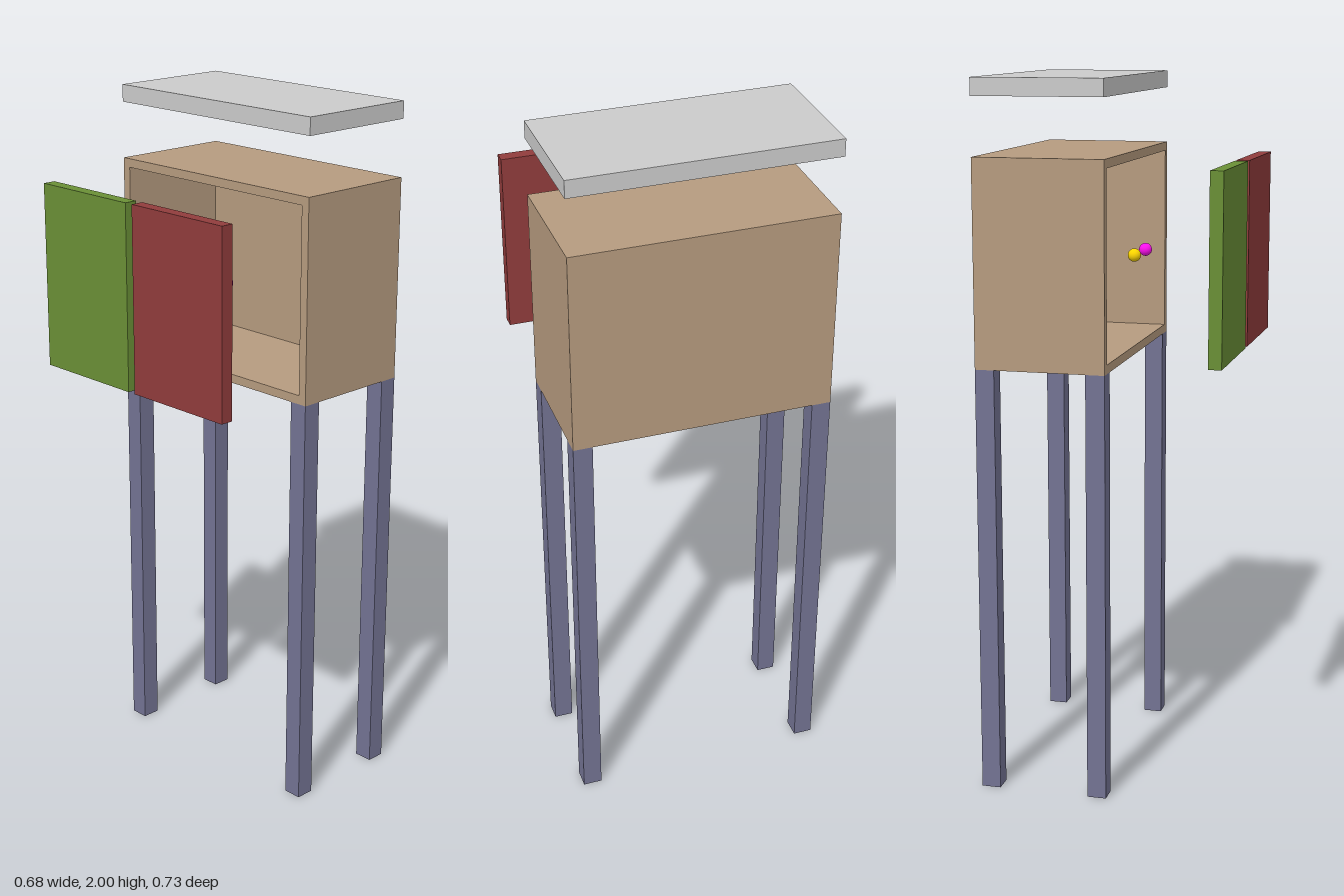
import * as THREE from 'three';

export function createModel() {
  const model = new THREE.Group();
  const mat = (color) => new THREE.MeshStandardMaterial({ color });
  const wood = mat(0xb69b7f);
  const steel = mat(0x737393);
  const grey = mat(0xcccccc);
  const green = mat(0x6a8f36);
  const red = mat(0x913c3c);
  const yellow = mat(0xffd700);
  const magenta = mat(0xff10f0);

  // Box given by its minimum and maximum corners
  const box = (name, material, [x0, y0, z0], [x1, y1, z1], parent = model) => {
    const mesh = new THREE.Mesh(new THREE.BoxGeometry(x1 - x0, y1 - y0, z1 - z0), material);
    mesh.position.set((x0 + x1) / 2, (y0 + y1) / 2, (z0 + z1) / 2);
    mesh.name = name;
    parent.add(mesh);
  };

  const X0 = -0.027, X1 = 0.339, Z = 0.367;   // cabinet footprint
  const Y0 = 1.216, Y1 = 1.791, T = 0.025;    // cabinet height and board thickness

  // Cabinet, open towards -x
  const cabinet = new THREE.Group();
  cabinet.name = 'cabinet';
  model.add(cabinet);
  box('cabinetFloor', wood, [X0, Y0, -Z], [X1, Y0 + T, Z], cabinet);
  box('cabinetTop', wood, [X0, Y1 - T, -Z], [X1, Y1, Z], cabinet);
  box('cabinetBack', wood, [X1 - T, Y0 + T, -Z], [X1, Y1 - T, Z], cabinet);
  box('cabinetSideBack', wood, [X0, Y0 + T, -Z], [X1 - T, Y1 - T, -Z + T], cabinet);
  box('cabinetSideFront', wood, [X0, Y0 + T, Z - T], [X1 - T, Y1 - T, Z], cabinet);

  // Four square legs
  const L = 0.054;
  for (const x of [X0, X1 - L]) {
    for (const z of [-Z, Z - L]) box('leg', steel, [x, 0, z], [x + L, Y0, z + L]);
  }

  // Roof slab floating above the cabinet
  box('roof', grey, [X0, 1.951, -Z], [X1, 2, Z]);

  // Detached doors
  box('greenDoor', green, [-0.341, Y0 + T, -0.342], [-0.304, Y1 - T, 0]);
  box('redDoor', red, [-0.341, Y0 + T, 0.025], [-0.304, Y1 - T, Z]);

  // Round knobs hanging at the opening
  for (const [name, material, z] of [['yellowKnob', yellow, -0.066], ['magentaKnob', magenta, 0.066]]) {
    const knob = new THREE.Mesh(new THREE.SphereGeometry(0.0185, 32, 20), material);
    knob.position.set(-0.034, 1.504, z);
    knob.name = name;
    model.add(knob);
  }

  return model;
}
